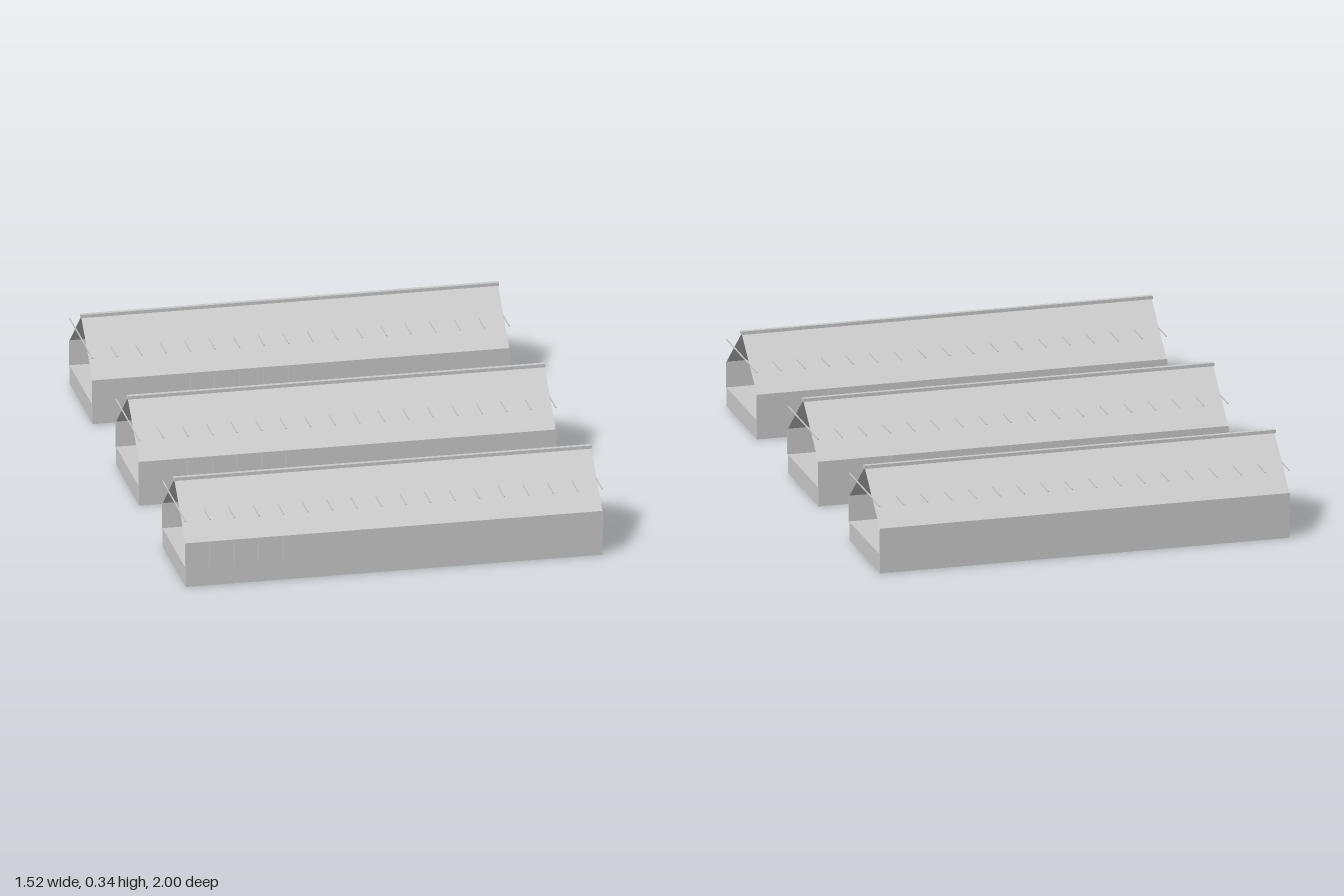
import * as THREE from 'three';

const LENGTH = 1.51, HALF = 0.199;           // house length, half width
const BASE = 0.07, EAVE = 0.165, RIDGE = 0.333;
const BAYS = 17, BAR = 0.004;

export function createModel() {
  const model = new THREE.Group();
  const solid = new THREE.MeshStandardMaterial({ color: 0xcccccc, flatShading: true });
  const sheet = new THREE.MeshStandardMaterial({ color: 0xcccccc, flatShading: true, side: THREE.DoubleSide });

  function box(parent, name, w, h, d, x, y, z) {
    const mesh = new THREE.Mesh(new THREE.BoxGeometry(w, h, d), solid);
    mesh.name = name;
    mesh.position.set(x, y, z);
    parent.add(mesh);
  }

  // Thin sheet running the length of the house between two (y, z) edges
  function panel(parent, name, y0, z0, y1, z1) {
    const geo = new THREE.PlaneGeometry(LENGTH, Math.hypot(y1 - y0, z1 - z0));
    const mesh = new THREE.Mesh(geo, sheet);
    mesh.name = name;
    mesh.position.set(0, (y0 + y1) / 2, (z0 + z1) / 2);
    mesh.rotation.x = Math.atan2(z1 - z0, y1 - y0);
    parent.add(mesh);
  }

  function createHouse() {
    const house = new THREE.Group();
    house.name = 'greenhouse';

    // Solid base and ridge beam
    box(house, 'base', LENGTH, BASE, HALF * 2, 0, BASE / 2, 0);
    box(house, 'ridgeBeam', LENGTH + 0.006, 0.012, 0.016, 0, 0.336, 0);

    // Side walls, roof slopes and eave rails
    for (const s of [1, -1]) {
      panel(house, 'sideWall', BASE, s * HALF, EAVE, s * HALF);
      panel(house, 'roofSlope', EAVE, s * HALF, RIDGE, 0);
      box(house, 'eaveRail', LENGTH, BAR, BAR / 2, 0, EAVE, s * HALF);
    }

    // Wall posts and crossbars at every bay
    for (let i = 0; i <= BAYS; i++) {
      const x = (i / BAYS - 0.5) * LENGTH;
      for (const s of [1, -1]) {
        box(house, 'post', BAR, EAVE - BASE, BAR / 2, x, (EAVE + BASE) / 2, s * HALF);
      }
      box(house, 'crossbar', BAR, BAR, HALF * 2, x, 0.25, 0);
    }
    return house;
  }

  // Row of three houses
  for (const z of [-0.8, 0, 0.8]) {
    const house = createHouse();
    house.position.z = z;
    model.add(house);
  }
  return model;
}
